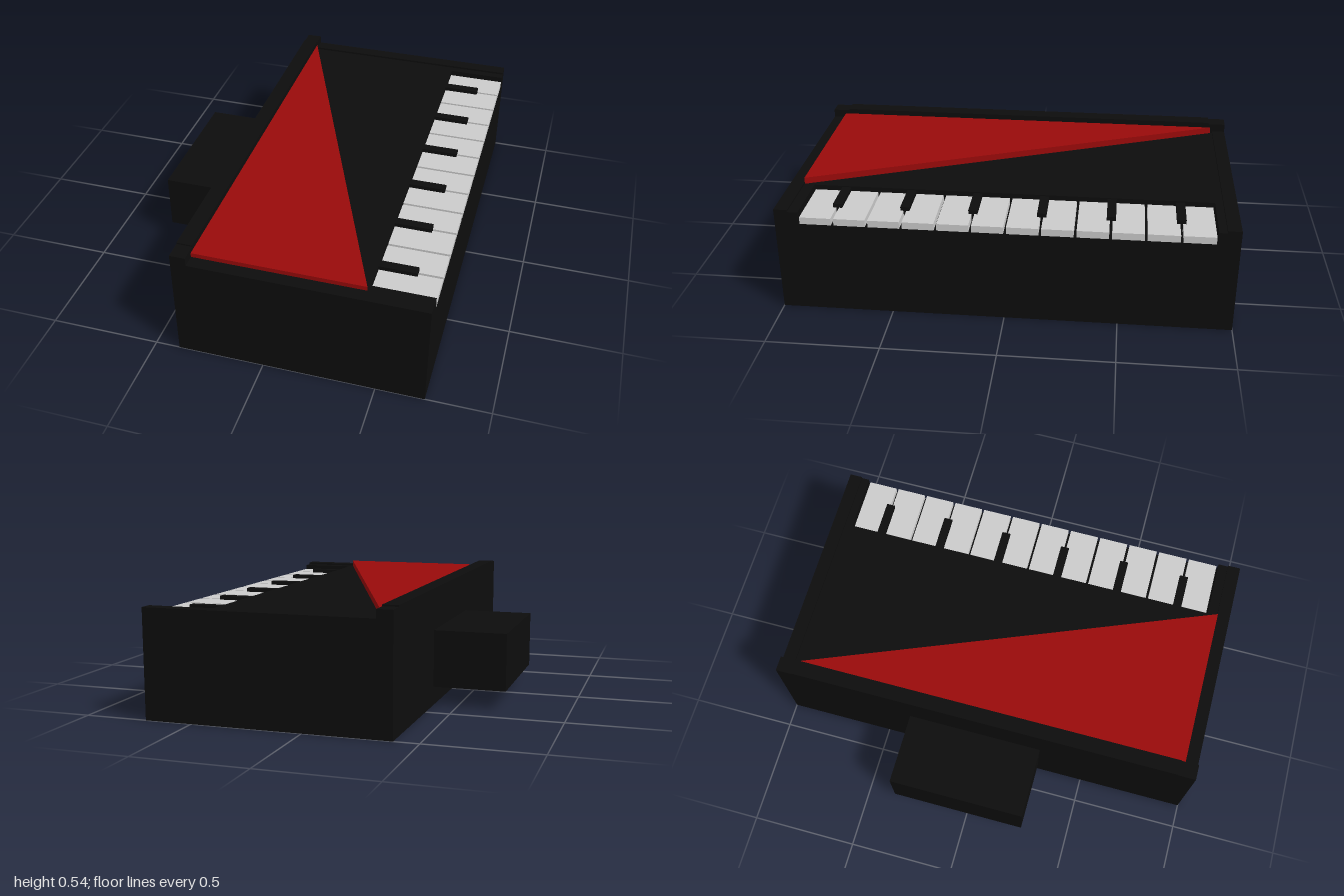
import * as THREE from 'three';

const black = new THREE.MeshStandardMaterial({ color: 0x0d0d0d });
const red = new THREE.MeshStandardMaterial({ color: 0x990a0a });
const white = new THREE.MeshStandardMaterial({ color: 0xcccccc });

// Box given by its min and max on each axis
function block(name, material, [x0, x1], [y0, y1], [z0, z1]) {
  const mesh = new THREE.Mesh(new THREE.BoxGeometry(x1 - x0, y1 - y0, z1 - z0), material);
  mesh.position.set((x0 + x1) / 2, (y0 + y1) / 2, (z0 + z1) / 2);
  mesh.name = name;
  return mesh;
}

export function createModel() {
  const model = new THREE.Group();
  model.name = 'keyboardCabinet';
  const back = -0.39, front = 0.715, keyBack = 0.445, floor = 0.425;

  // Cabinet: body, lid behind the keys, end cheeks and bench
  model.add(
    block('body', black, [back, front], [0, floor], [-1, 1]),
    block('lid', black, [back, keyBack], [floor, 0.48], [-0.94, 0.94]),
    block('bench', black, [-0.72, back], [0.085, 0.345], [-0.36, 0.28]),
    block('leftCheek', black, [back, front], [floor, 0.49], [0.94, 1]),
    block('rightCheek', black, [back, front], [floor, 0.49], [-1, -0.94]),
    block('leftKeyBlock', black, [keyBack, front], [floor, 0.48], [0.895, 0.94]),
    block('rightKeyBlock', black, [keyBack, front], [floor, 0.48], [-0.94, -0.905])
  );

  // Raised rail along the bench side
  model.add(
    block('rail', black, [back, -0.32], [0.48, 0.528], [-1, 1]),
    block('railCap', black, [back, -0.32], [0.528, 0.535], [-0.92, 0.92])
  );

  // Triangular red panel, drawn in plan (shape y is -z) and raised
  const plan = new THREE.Shape([
    new THREE.Vector2(-0.32, -0.94),
    new THREE.Vector2(0.44, -0.94),
    new THREE.Vector2(-0.32, 0.93)
  ]);
  const panel = new THREE.Mesh(
    new THREE.ExtrudeGeometry(plan, { depth: 0.032, bevelEnabled: false }), red);
  panel.rotation.x = -Math.PI / 2;
  panel.position.y = 0.478;
  panel.name = 'redPanel';
  model.add(panel);

  // White keys, with a black key over every second gap
  const keys = new THREE.Group();
  keys.name = 'keys';
  const count = 12, start = -0.905, pitch = 1.8 / count;
  for (let i = 0; i < count; i++) {
    const z = start + i * pitch;
    keys.add(block('whiteKey', white, [keyBack, front], [floor, 0.457], [z + 0.006, z + pitch - 0.006]));
    if (i % 2 === 1) {
      keys.add(block('blackKey', black, [keyBack, 0.61], [floor, 0.475], [z - 0.02, z + 0.02]));
    }
  }
  model.add(keys);
  return model;
}
